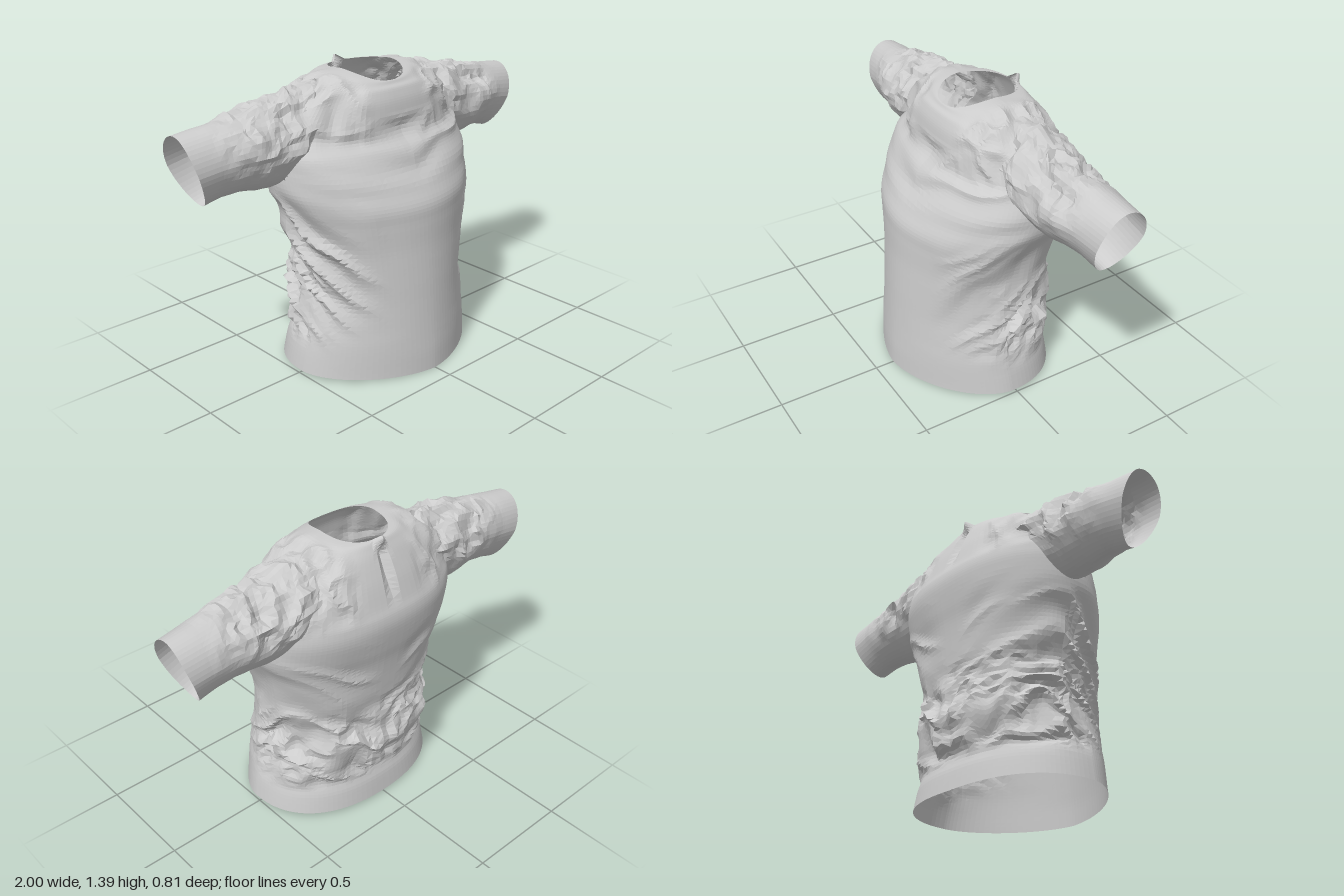
import * as THREE from 'three';

const { lerp, clamp, smoothstep } = THREE.MathUtils;
const material = new THREE.MeshStandardMaterial({ color: 0xcccccc, flatShading: true, side: THREE.DoubleSide });

// Body profile: height, half width, front z, back z
const BODY = [
  [0.01, 0.5, 0.405, -0.355], [0.1, 0.485, 0.402, -0.342], [0.18, 0.468, 0.396, -0.325],
  [0.26, 0.455, 0.39, -0.358], [0.36, 0.44, 0.383, -0.37], [0.45, 0.438, 0.377, -0.347],
  [0.54, 0.445, 0.37, -0.338], [0.63, 0.46, 0.363, -0.352], [0.74, 0.485, 0.358, -0.362],
  [0.82, 0.507, 0.35, -0.372], [0.9, 0.53, 0.308, -0.388], [1.0, 0.53, 0.252, -0.402],
  [1.06, 0.522, 0.218, -0.398], [1.11, 0.51, 0.177, -0.38], [1.2, 0.475, 0.163, -0.35],
  [1.26, 0.43, 0.152, -0.325], [1.31, 0.37, 0.132, -0.302], [1.345, 0.3, 0.117, -0.285],
  [1.373, 0.225, 0.106, -0.27], [1.38, 0.153, 0.1, -0.255],
];

// Sleeve profile: position along sleeve, top y, bottom y, front z, back z
const SLEEVE = [
  [0, 1.335, 0.93, 0.055, -0.285], [0.2, 1.318, 0.918, 0.06, -0.285], [0.4, 1.297, 0.93, 0.055, -0.278],
  [0.6, 1.275, 0.938, 0.033, -0.268], [0.8, 1.252, 0.93, 0.004, -0.26], [1, 1.235, 0.908, -0.015, -0.253],
];

// Linear lookup in a profile table
function sample(table, t) {
  let i = 0;
  while (i < table.length - 2 && table[i + 1][0] < t) i++;
  const a = table[i], b = table[i + 1];
  const k = clamp((t - a[0]) / (b[0] - a[0]), 0, 1);
  return a.map((value, j) => lerp(value, b[j], k));
}

// Smooth curve through the rows of a table, s counted in rows
function smoothRow(table, s) {
  const i = Math.min(Math.floor(s), table.length - 2), t = s - i;
  const a = table[Math.max(i - 1, 0)], d = table[Math.min(i + 2, table.length - 1)];
  return table[i].map((b, k) => {
    const c = table[i + 1][k];
    return b + 0.5 * t * (c - a[k] + t * (2 * a[k] - 5 * b + 4 * c - d[k] + t * (3 * (b - c) + d[k] - a[k])));
  });
}

// Seeded value noise in 0..1
function hash(x, y, z) {
  const s = Math.sin(x * 127.1 + y * 311.7 + z * 74.7) * 43758.5453;
  return s - Math.floor(s);
}
function noise(x, y, z) {
  const ix = Math.floor(x), iy = Math.floor(y), iz = Math.floor(z);
  const f = [x - ix, y - iy, z - iz].map((t) => t * t * (3 - 2 * t));
  const edge = (j, k) => lerp(hash(ix, iy + j, iz + k), hash(ix + 1, iy + j, iz + k), f[0]);
  return lerp(lerp(edge(0, 0), edge(1, 0), f[1]), lerp(edge(0, 1), edge(1, 1), f[1]), f[2]);
}
// Sharp-crested cloth fold, averaging about zero
const fold = (x, y, z) => 0.33 - Math.abs(2 * noise(x, y, z) - 1);
const band = (t, a, b, c, d) => smoothstep(t, a, b) * (1 - smoothstep(t, c, d));

// Closed loops of points joined into a tube-like surface
function loft(name, around, rows, pointAt, keep = () => true) {
  const points = [], index = [];
  for (let j = 0; j <= rows; j++)
    for (let i = 0; i < around; i++) points.push(pointAt((i / around) * Math.PI * 2, j / rows));
  for (let j = 0; j < rows; j++)
    for (let i = 0; i < around; i++) {
      const a = j * around + i, b = j * around + ((i + 1) % around);
      const c = b + around, d = a + around;
      if (![a, b, c, d].every((k) => keep(points[k]))) continue;
      if (hash(i, j, 5) > 0.5) index.push(a, b, c, a, c, d);
      else index.push(a, b, d, b, c, d);
    }
  const geometry = new THREE.BufferGeometry().setFromPoints(points);
  geometry.setIndex(index);
  geometry.computeVertexNormals();
  const mesh = new THREE.Mesh(geometry, material);
  mesh.name = name;
  return mesh;
}

// Roundness of the body outline: lean at the front hem, fuller behind and at the chest
function power(y, inFront) {
  if (!inFront) return 2.35;
  return lerp(lerp(1.68, 1.85, smoothstep(y, 0, 0.4)), 2.3, smoothstep(y, 0.75, 1.1));
}

// Half width of the body at a given height and depth
function bodyX(y, z) {
  const [, w, front, back] = sample(BODY, y);
  const mid = (front + back) / 2, n = power(y, z > mid);
  const t = Math.min(1, Math.abs(z - mid) / ((front - back) / 2));
  return w * (1 - t ** n) ** (1 / n);
}

function bodyPoint(angle, v) {
  // Rows follow the profile evenly so the shoulders get enough of them
  const [y0, w, front, back] = smoothRow(BODY, v * (BODY.length - 1));
  const n = power(y0, Math.cos(angle) > 0);
  const rounded = (t) => Math.sign(t) * Math.abs(t) ** (2 / n);
  const sx = rounded(Math.sin(angle)), sz = rounded(Math.cos(angle));
  const p = new THREE.Vector3(w * sx, y0, (front + back) / 2 + ((front - back) / 2) * sz);
  const out = new THREE.Vector3(sx / w, 0, sz / 0.36).normalize();
  const { x, y, z } = p;

  // Bunched folds around the waist, sides and back, drooping and wandering
  const wander = 0.12 * noise(x * 5, y * 5, z * 5);
  const slant = y + 0.8 * Math.max(z, -0.1) - 0.25 * Math.abs(x) + wander;
  const rear = 1 - smoothstep(z, -0.05, 0.2);
  const waist = band(y, 0.12, 0.25, 0.42, 0.68) * rear;
  let d = waist * (0.06 * fold(x * 5, slant * 11, z * 5) + 0.035 * fold(x * 12, slant * 17, z * 12));
  p.y += waist * 0.035 * fold(x * 9 + 3, slant * 9, z * 9);
  // Long pulls from the chest to the side, and swags across the back
  const side = smoothstep(Math.abs(x), 0.2, 0.4) * smoothstep(z, -0.3, 0);
  d += 0.05 * band(y, 0.18, 0.4, 0.7, 0.95) * side * fold(x * 2, slant * 8, z * 1.5 + 7);
  const swag = y - 0.5 * Math.abs(x) + 0.5 * wander;
  d += 0.035 * band(y, 0.4, 0.6, 0.8, 1.0) * smoothstep(-z, 0.05, 0.25) * smoothstep(Math.abs(x), 0.03, 0.25) * fold(x * 2, swag * 9, 2);
  // Creases across the upper chest
  d += 0.03 * band(y, 0.85, 1.0, 1.12, 1.22) * smoothstep(z, -0.1, 0.1) *
    fold(x * 3, (y - 0.2 * Math.abs(x) + 0.5 * wander) * 12, 3);
  // Gathered shoulders
  const shoulder = band(y, 1.05, 1.2, 1.36, 1.385) * smoothstep(Math.abs(x), 0.14, 0.26);
  d += 0.05 * shoulder * fold(x * 12, y * 9, z * 12);
  p.y += 0.035 * shoulder * fold(x * 11 + 9, y * 6, z * 11);
  p.addScaledVector(out, d);

  // Collar: low in front, a small peak behind, with a short back slit
  const collar = smoothstep(y0, 1.3, 1.38);
  p.y += collar * (sz > 0 ? lerp(0.01, -0.038, sz ** 2) : lerp(0.01, -0.008, -sz));
  if (sz < 0) {
    const slit = Math.max(0, 1 - Math.abs(x) / 0.035) * smoothstep(y0, 1.08, 1.25);
    p.z += slit * 0.03 * (1 - 2 * collar);
    p.y += slit * 0.025 * collar;
  }
  // Slightly uneven hem
  p.y += (1 - smoothstep(y0, 0, 0.15)) * (0.01 * Math.abs(sx) - 0.008 * Math.max(0, sz));
  return p;
}

// Sleeve underside narrows to a soft keel
const keel = (c) => 1 - 0.2 * Math.max(0, -c);

// Where the sleeve joins, the body is open
function outsideArmhole({ x, y, z }) {
  const c = (y - 1.13) / 0.18;
  return Math.abs(x) < 0.27 || c ** 2 + ((z + 0.115) / (0.15 * keel(c))) ** 2 > 1;
}

function sleevePoint(side, angle, v) {
  const c = Math.cos(angle), s = side * Math.sin(angle) * keel(c);
  const ring = ([, top, bottom, front, back]) =>
    [(top + bottom) / 2 + ((top - bottom) / 2) * c, (front + back) / 2 + ((front - back) / 2) * s];
  const [y, z] = ring(sample(SLEEVE, v));
  const root = bodyX(...ring(SLEEVE[0])) - 0.04;
  const cuff = 1 - 0.11 * ((1 - c) / 2) ** 1.6;
  const p = new THREE.Vector3(side * lerp(root, cuff, v), y, z);
  // Crumples on top, fading toward the cuff and underside
  const mask = smoothstep(c, -0.7, 0.3) * band(v, -0.2, 0.1, 0.5, 0.88);
  const soft = 0.014 * band(v, 0, 0.15, 0.5, 0.9) * fold(p.x * 7, y * 4, z * 4);
  const d = soft + mask * (0.055 * fold(p.x * 10, y * 8, z * 11) + 0.03 * fold(p.x * 17, y * 14, z * 17));
  p.y += d * c;
  p.z += d * s;
  p.x += mask * 0.035 * fold(p.x * 10 + 4, y * 8, z * 12);
  return p;
}

export function createModel() {
  const shirt = new THREE.Group();
  shirt.name = 'shirt';
  shirt.add(loft('body', 112, 95, bodyPoint, outsideArmhole));
  for (const side of [1, -1])
    shirt.add(loft(side > 0 ? 'leftSleeve' : 'rightSleeve', 48, 32, (a, v) => sleevePoint(side, a, v)));
  return shirt;
}
